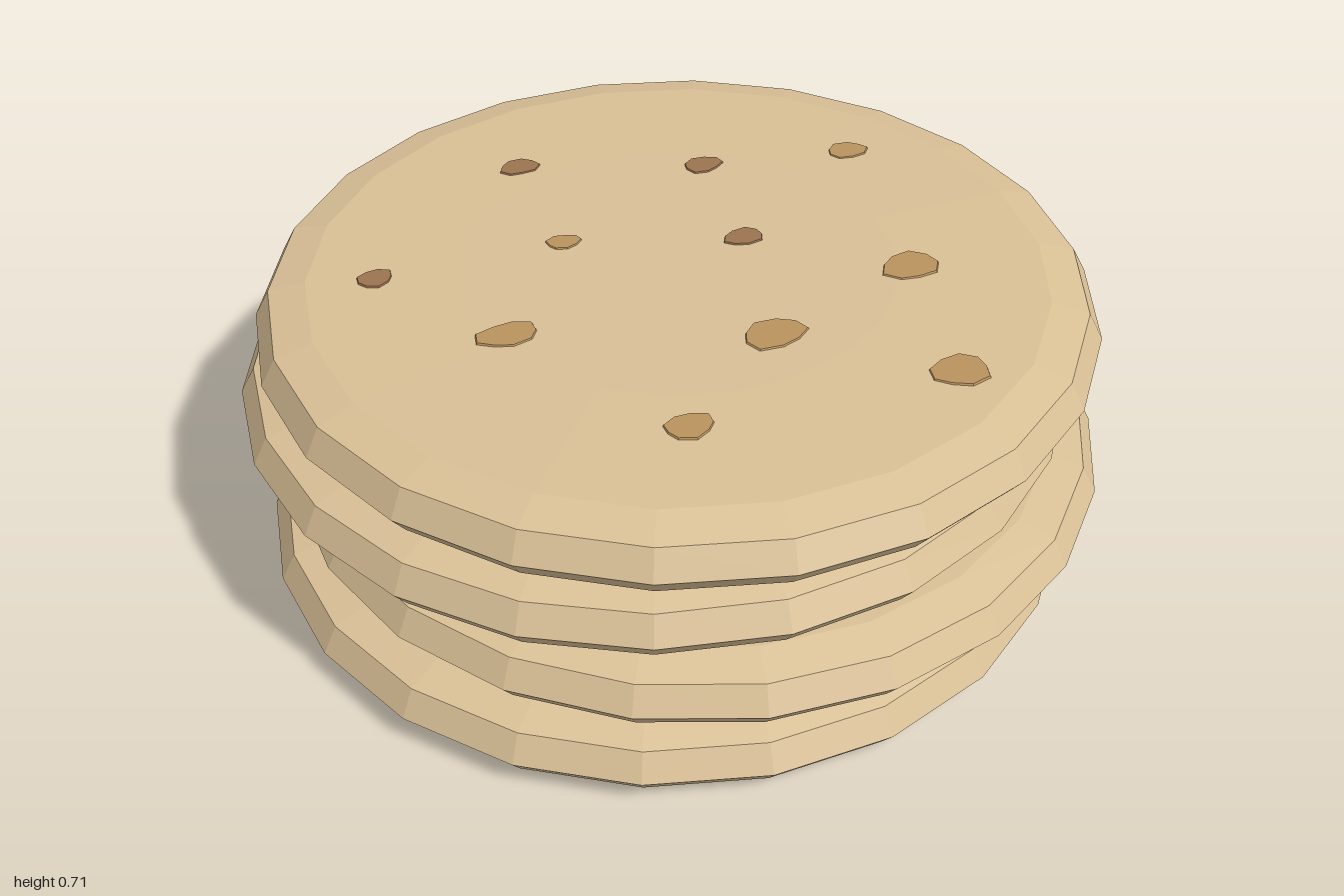
import * as THREE from 'three';

const SIDES = 22;
const material = (color) => new THREE.MeshStandardMaterial({ color, flatShading: true });

// Half section of one flat round cake, [radius, height], bottom to top
const PROFILE = [
  [0, 0], [0.84, 0.005], [0.925, 0.025], [0.96, 0.075],
  [0.925, 0.137], [0.84, 0.156], [0.5, 0.162], [0, 0.163],
];

// Height of the slightly domed top at a given radius
function topHeight(r) {
  return r < 0.5 ? 0.163 - 0.002 * r : 0.162 - 0.006 * (r - 0.5) / 0.34;
}

// Thin irregular patch, elongated along x or z
function spotGeometry(rx, rz, seed) {
  const geo = new THREE.CylinderGeometry(0.94, 1, 0.008, 9);
  const p = geo.attributes.position;
  for (let i = 0; i < p.count; i++) {
    const a = Math.atan2(p.getZ(i), p.getX(i));
    const k = 1 + 0.09 * Math.sin(3 * a + seed * 1.7) + 0.05 * Math.cos(2 * a + seed);
    p.setX(i, p.getX(i) * rx * k);
    p.setZ(i, p.getZ(i) * rz * k);
  }
  geo.computeVertexNormals();
  return geo;
}

export function createModel() {
  const model = new THREE.Group();
  model.name = 'cakeStack';
  const dough = material(0xd9c096);
  const lightBrown = material(0xbb935f);
  const darkBrown = material(0x9c7450);

  // Four cakes, each shifted a little: x, y, z, turn
  const cakes = [
    [-0.027, 0, 0.013, 0.14],
    [0.04, 0.183, 0.03, 0.05],
    [-0.043, 0.366, -0.027, 0.2],
    [0.007, 0.548, 0.003, 0.14],
  ];
  const cakeGeo = new THREE.LatheGeometry(PROFILE.map(([r, y]) => new THREE.Vector2(r, y)), SIDES);
  cakes.forEach(([x, y, z, turn], i) => {
    const cake = new THREE.Mesh(cakeGeo, dough);
    cake.name = `cake${i + 1}`;
    cake.position.set(x, y, z);
    cake.rotation.y = turn;
    model.add(cake);
  });

  // Browned spots on the top cake: x, z, half width, half depth, dark
  const spots = [
    [-0.2, -0.53, 0.05, 0.038, true], [0.225, -0.37, 0.05, 0.038, true],
    [-0.65, -0.185, 0.043, 0.035, true], [0.185, -0.03, 0.052, 0.034, true],
    [0.59, -0.305, 0.054, 0.038, false], [-0.21, -0.165, 0.042, 0.03, false],
    [-0.44, 0.135, 0.07, 0.045, false], [0.487, 0.22, 0.07, 0.056, false],
    [0.092, 0.345, 0.076, 0.053, false], [-0.195, 0.565, 0.057, 0.04, false],
    [0.4, 0.603, 0.07, 0.053, false],
  ];
  const spotGroup = new THREE.Group();
  spotGroup.name = 'brownedSpots';
  spots.forEach(([x, z, rx, rz, dark], i) => {
    const spot = new THREE.Mesh(spotGeometry(rx, rz, i), dark ? darkBrown : lightBrown);
    spot.name = `spot${i + 1}`;
    spot.position.set(x, 0.548 + topHeight(Math.hypot(x, z)), z);
    spotGroup.add(spot);
  });
  model.add(spotGroup);
  return model;
}
